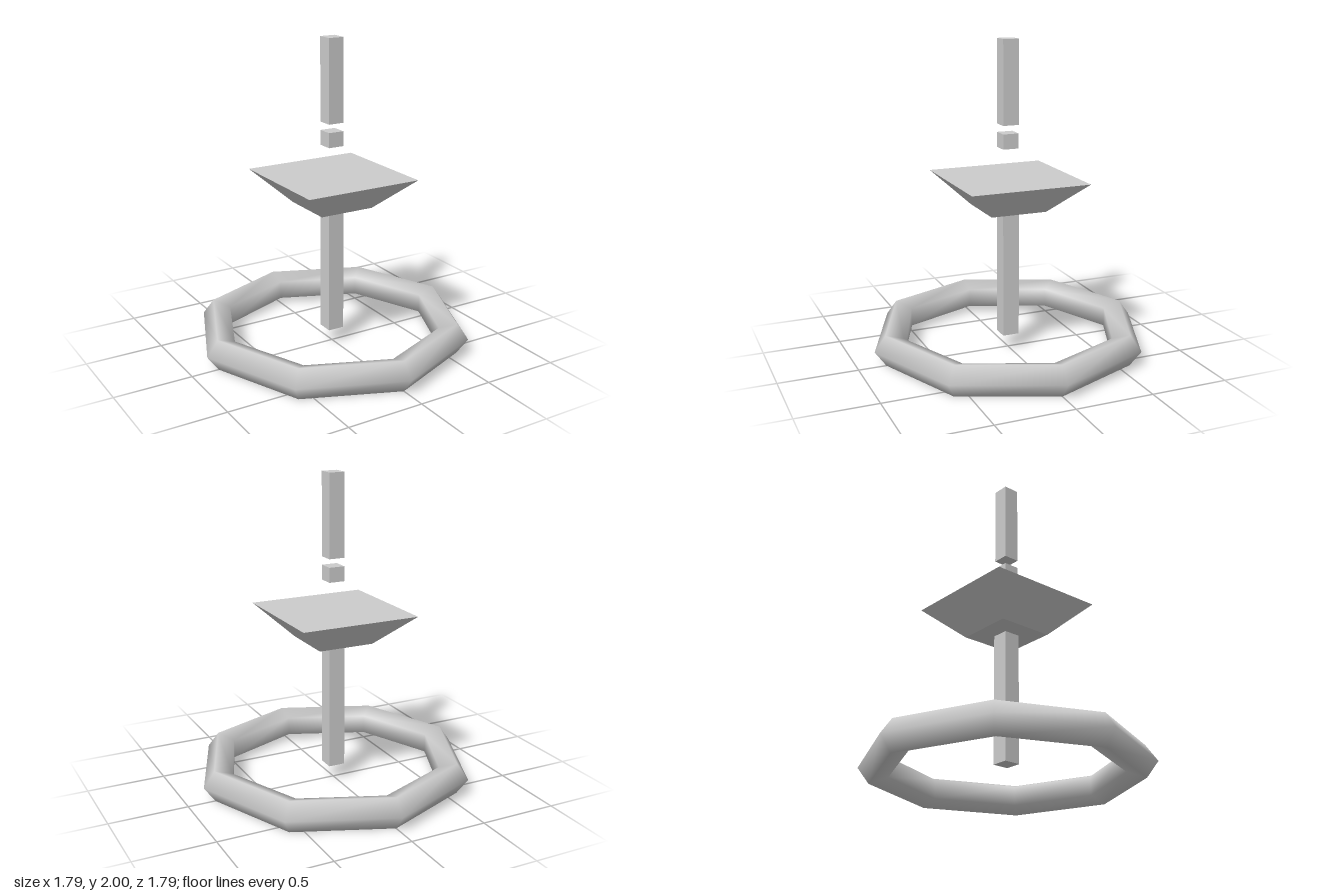
import * as THREE from 'three';

const material = new THREE.MeshStandardMaterial({ color: 0xcccccc });

export function createModel() {
  const model = new THREE.Group();

  const add = (name, geometry, y) => {
    const mesh = new THREE.Mesh(geometry, material);
    mesh.name = name;
    mesh.position.y = y;
    model.add(mesh);
  };

  // Square upright block between two heights
  const addBlock = (name, width, bottom, top) =>
    add(name, new THREE.BoxGeometry(width, top - bottom, width), (bottom + top) / 2);

  // Eight-segment base ring with a five-sided, smooth-shaded tube
  const ring = new THREE.TorusGeometry(0.79, 0.105, 5, 8);
  ring.rotateX(-Math.PI / 2);
  add('baseRing', ring, 0.1);

  // Central post, from the middle of the ring up to the dish
  addBlock('post', 0.108, 0.1, 0.94);

  // Solid square dish flaring upward, with flat faces
  const dish = new THREE.CylinderGeometry(0.387 * Math.SQRT2, 0.182 * Math.SQRT2, 0.2, 4)
    .rotateY(Math.PI / 4)
    .toNonIndexed();
  dish.computeVertexNormals();
  add('dish', dish, 1.036);

  // Floating blocks above the dish
  addBlock('lowerFloatingBlock', 0.103, 1.324, 1.419);
  addBlock('upperFloatingBlock', 0.103, 1.472, 2);

  return model;
}
